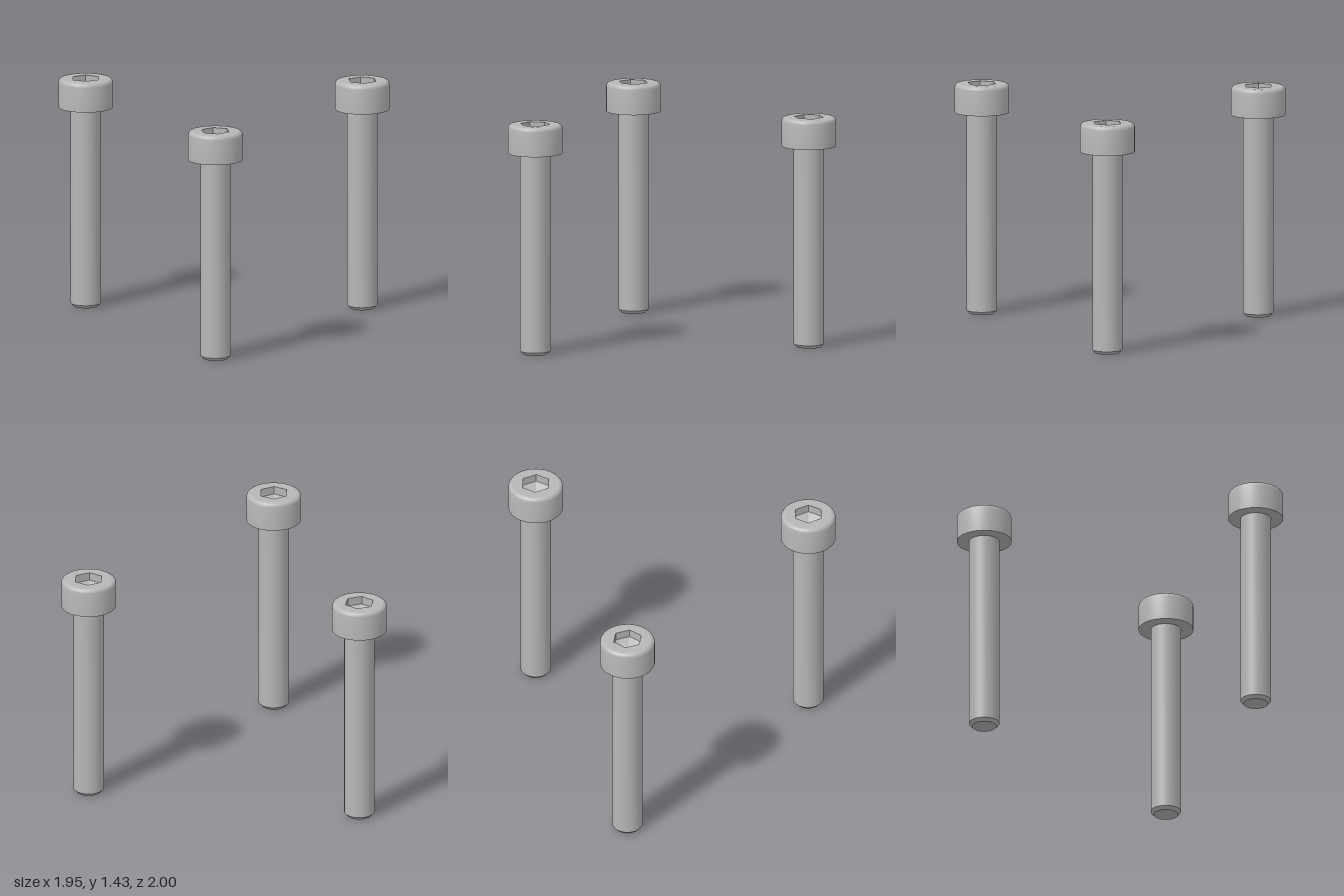
import * as THREE from 'three';
import { toCreasedNormals } from 'three/addons/utils/BufferGeometryUtils.js';

const SIDES = 48;
const HEAD_R = 0.168, HEAD_BASE = 1.25, TOP = 1.43, ROUND = 0.025;
const SHAFT_R = 0.093, TIP_R = 0.075, TIP_H = 0.02;
const HEX_R = 0.091, WALL_DEPTH = 0.05, CONE_DEPTH = 0.045;

// Lathe from [radius, height] pairs, listed from bottom to top
function turned(profile) {
  const points = profile.map(([r, y]) => new THREE.Vector2(r, y));
  return toCreasedNormals(new THREE.LatheGeometry(points, SIDES), 0.5);
}

// Six-sided tube or cone whose faces look inward
function hexInside(bottomR, height, topY) {
  const geometry = new THREE.CylinderGeometry(HEX_R, bottomR, height, 6, 1, true).toNonIndexed();
  const p = geometry.attributes.position;
  for (let i = 0; i < p.count; i += 3) {
    const b = new THREE.Vector3().fromBufferAttribute(p, i + 1);
    p.setXYZ(i + 1, p.getX(i + 2), p.getY(i + 2), p.getZ(i + 2));
    p.setXYZ(i + 2, b.x, b.y, b.z);
  }
  geometry.computeVertexNormals();
  return geometry.translate(0, topY - height / 2, 0);
}

export function createModel() {
  const steel = new THREE.MeshStandardMaterial({ color: 0xb6b6b6 });
  steel.name = 'steel';

  // Shaft with a chamfered tip
  const shaft = turned([[0, 0], [TIP_R, 0], [SHAFT_R, TIP_H], [SHAFT_R, HEAD_BASE]]);

  // Head with a rounded upper edge
  const profile = [[SHAFT_R, HEAD_BASE], [HEAD_R, HEAD_BASE]];
  for (let i = 0; i <= 4; i++) {
    const a = (i / 4) * Math.PI / 2;
    profile.push([HEAD_R - ROUND + ROUND * Math.cos(a), TOP - ROUND + ROUND * Math.sin(a)]);
  }
  const head = turned(profile);

  // Flat top face with the hexagonal opening
  const face = new THREE.Shape().absarc(0, 0, HEAD_R - ROUND, 0, Math.PI * 2);
  const hex = [];
  for (let i = 0; i < 6; i++) {
    const a = i * Math.PI / 3;
    hex.push(new THREE.Vector2(HEX_R * Math.sin(a), HEX_R * Math.cos(a)));
  }
  face.holes.push(new THREE.Path(hex));
  const topFace = new THREE.ShapeGeometry(face, SIDES).rotateX(-Math.PI / 2).translate(0, TOP, 0);

  // Socket walls and conical floor
  const socketWall = hexInside(HEX_R, WALL_DEPTH, TOP);
  const socketFloor = hexInside(0, CONE_DEPTH, TOP - WALL_DEPTH);

  const parts = { shaft, head, topFace, socketWall, socketFloor };
  const model = new THREE.Group();
  model.name = 'socketScrews';

  // Three screws: x, z, twist
  const places = [
    ['leftFrontScrew', 0.808, 0.831, -0.12],
    ['leftBackScrew', 0.442, -0.831, -0.15],
    ['rightScrew', -0.81, 0.315, -0.27],
  ];
  for (const [name, x, z, twist] of places) {
    const screw = new THREE.Group();
    screw.name = name;
    for (const [part, geometry] of Object.entries(parts)) {
      const mesh = new THREE.Mesh(geometry, steel);
      mesh.name = part;
      screw.add(mesh);
    }
    screw.position.set(x, 0, z);
    screw.rotation.y = twist;
    model.add(screw);
  }
  return model;
}
